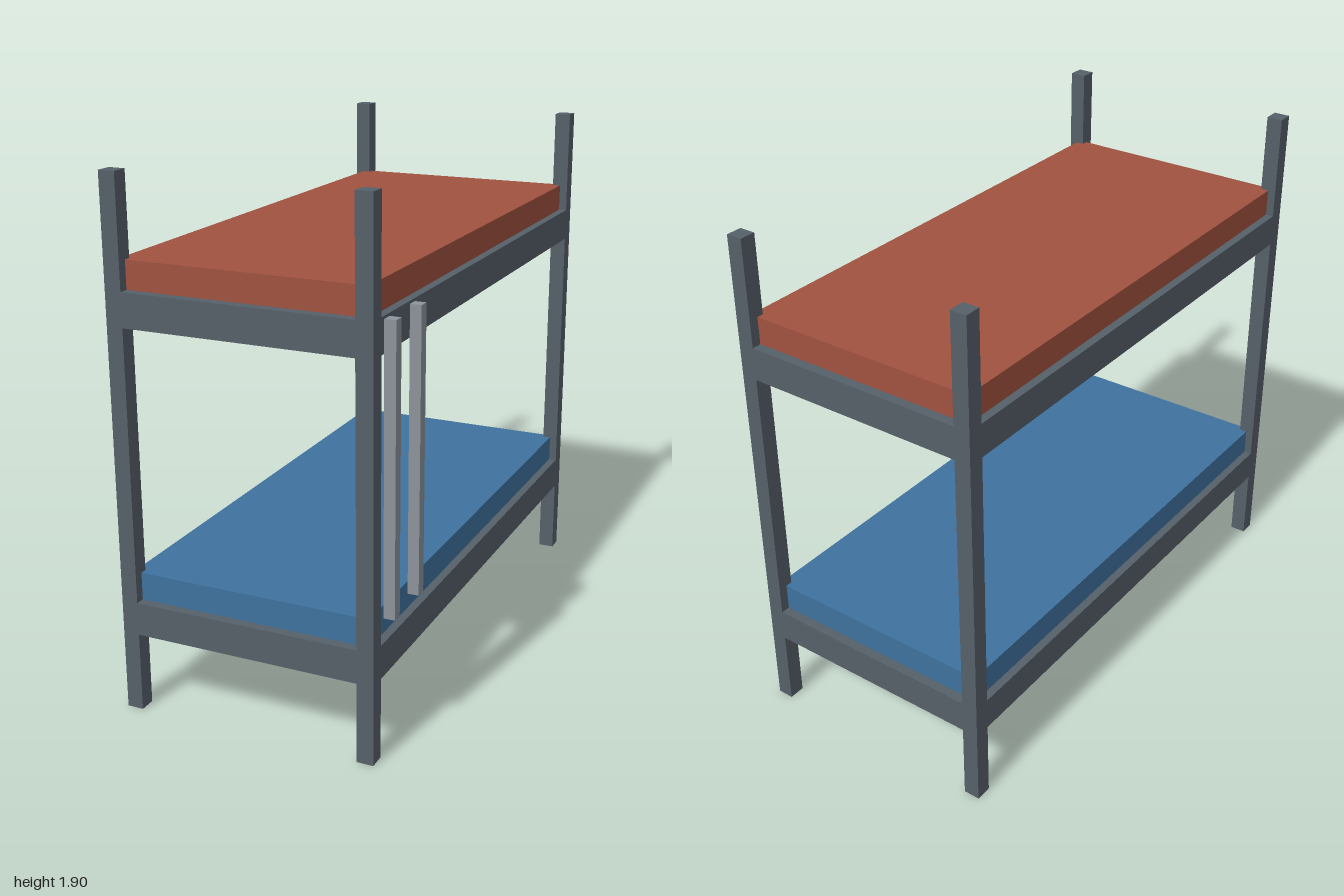
import * as THREE from 'three';

export function createModel() {
  const model = new THREE.Group();
  model.name = 'bunkBed';

  const material = (name, color) => {
    const m = new THREE.MeshStandardMaterial({ color });
    m.name = name;
    return m;
  };
  const frameGrey = material('frameGrey', 0x566069);
  const railGrey = material('railGrey', 0x8c949b);
  const blue = material('blueMattress', 0x3f729f);
  const red = material('redMattress', 0xa15240);

  // Box centred on x and z, with its underside at y
  const box = (name, mat, [w, h, d], [x, y, z]) => {
    const mesh = new THREE.Mesh(new THREE.BoxGeometry(w, h, d), mat);
    mesh.name = name;
    mesh.position.set(x, y + h / 2, z);
    model.add(mesh);
  };

  const bedX = -0.02; // the ladder on the left side offsets the bed

  // Corner posts
  for (const sx of [-1, 1]) {
    for (const sz of [-1, 1]) {
      box('cornerPost', frameGrey, [0.06, 1.9, 0.06], [bedX + sx * 0.445, 0, sz * 0.97]);
    }
  }

  // Bunks: solid base with a slightly smaller mattress
  for (const [level, y, colour] of [['lower', 0.29, blue], ['upper', 1.39, red]]) {
    box(level + 'BedBase', frameGrey, [0.95, 0.12, 2], [bedX, y, 0]);
    box(level + 'Mattress', colour, [0.89, 0.1, 1.93], [bedX, y + 0.12, 0]);
  }

  // Ladder uprights
  for (const z of [0.7, 0.9]) {
    box('ladderRail', railGrey, [0.04, 1, 0.04], [0.475, 0.5, z]);
  }

  return model;
}
